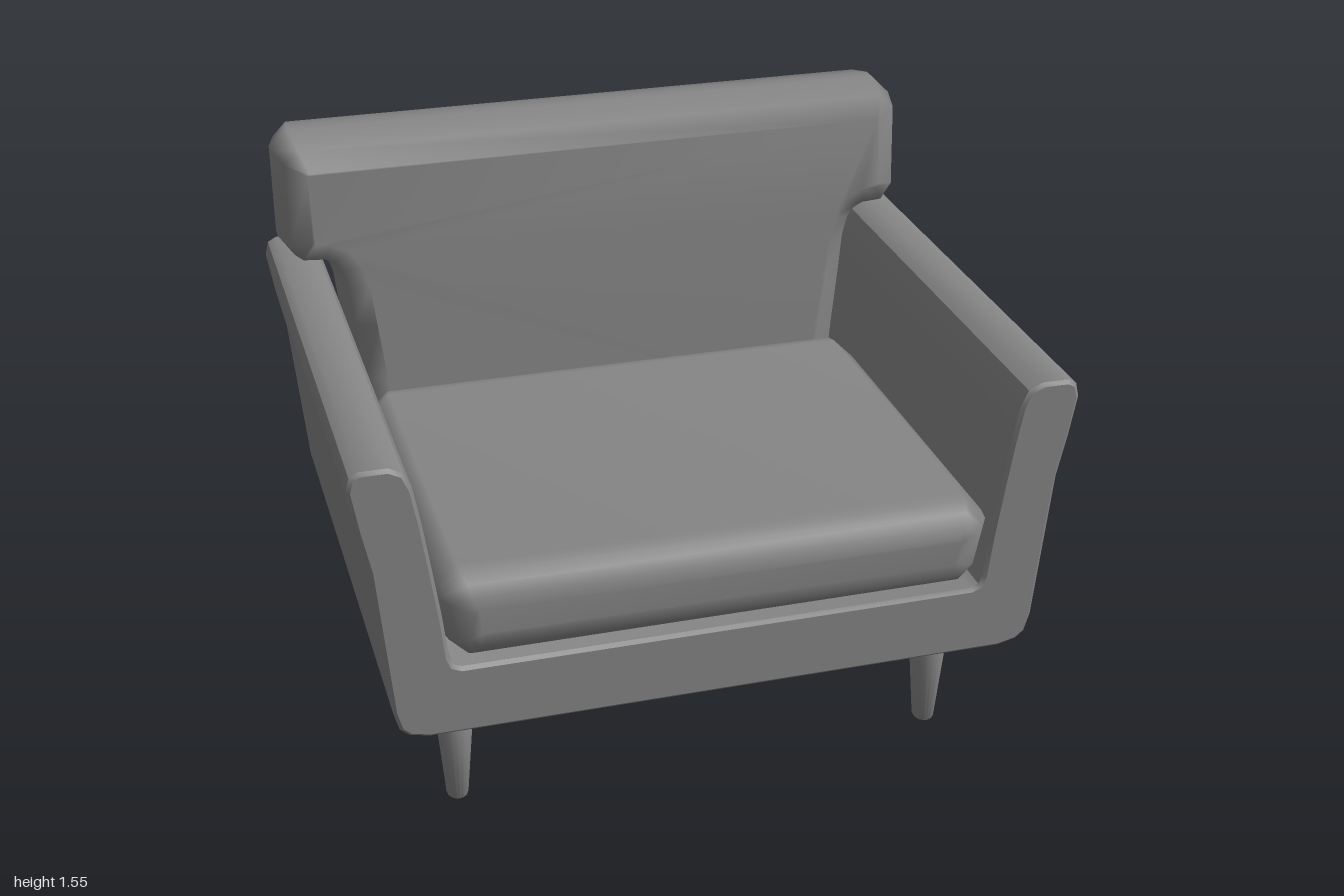
import * as THREE from 'three';
import { mergeVertices, toCreasedNormals } from 'three/addons/utils/BufferGeometryUtils.js';
import { RoundedBoxGeometry } from 'three/addons/geometries/RoundedBoxGeometry.js';

const material = new THREE.MeshStandardMaterial({ color: 0x858585 });

function add(parent, name, geometry, x = 0, y = 0, z = 0) {
  const mesh = new THREE.Mesh(geometry, material);
  mesh.name = name;
  mesh.position.set(x, y, z);
  parent.add(mesh);
  return mesh;
}

// Closed shape from its right half, mirrored across x = 0
function mirroredShape(half) {
  const left = half.map(([x, y]) => [-x, y]).reverse();
  return new THREE.Shape([...half, ...left].map(([x, y]) => new THREE.Vector2(x, y)));
}

// Move every vertex by a rule
function warp(geometry, rule) {
  const p = geometry.attributes.position;
  const v = new THREE.Vector3();
  for (let i = 0; i < p.count; i++) {
    rule(v.fromBufferAttribute(p, i));
    p.setXYZ(i, v.x, v.y, v.z);
  }
  geometry.computeVertexNormals();
  return geometry;
}

// Soft upholstered block: a front outline swollen by a wide bevel, centred in z
function paddedGeometry(half, length, thickness, size, segments) {
  const depth = length - 2 * thickness;
  const g = new THREE.ExtrudeGeometry(mirroredShape(half), {
    depth, bevelThickness: thickness, bevelSize: size, bevelSegments: segments,
  });
  g.translate(0, 0, -depth / 2);
  g.deleteAttribute('uv');
  g.deleteAttribute('normal');
  const smooth = mergeVertices(g);
  smooth.computeVertexNormals();
  return smooth;
}

// U-shaped body: floor and two flared arms, with a sloping back edge
function shellGeometry() {
  const shape = mirroredShape([
    [0.82, 0.33], [0.875, 0.343], [0.9, 0.365], [0.915, 0.42], [0.935, 0.64],
    [0.955, 0.86], [0.98, 0.98], [1.0, 1.1], [0.99, 1.14], [0.965, 1.154],
    [0.89, 1.154], [0.852, 1.135], [0.832, 1.09], [0.812, 0.98], [0.793, 0.85],
    [0.772, 0.7], [0.758, 0.57], [0.748, 0.545], [0.725, 0.535],
  ]);
  const bevel = 0.01;
  const g = new THREE.ExtrudeGeometry(shape, {
    depth: 1.6 - 2 * bevel, bevelThickness: bevel, bevelSize: bevel, bevelOffset: -bevel, bevelSegments: 1,
  });
  g.translate(0, 0, -0.8 + bevel);
  warp(g, (v) => { if (v.z < 0) v.z += 0.07 - 0.085 * (v.y - 0.33); });
  return toCreasedNormals(g, 0.6);
}

// T-shaped backrest: padded roll on top, narrowing between the arms
function backrestGeometry() {
  const g = paddedGeometry([
    [0.645, 0.57], [0.675, 0.6], [0.695, 0.8], [0.717, 0.98], [0.73, 1.1],
    [0.75, 1.17], [0.785, 1.22], [0.84, 1.247], [0.884, 1.25], [0.891, 1.26],
    [0.891, 1.464], [0.885, 1.47],
  ], 0.345, 0.15, 0.085, 2);
  return warp(g, (v) => { v.z -= 0.618 + 0.07 * (v.y - 1.15); });
}

export function createModel() {
  const model = new THREE.Group();
  model.name = 'armchair';
  add(model, 'bodyShell', shellGeometry());
  add(model, 'backrest', backrestGeometry());

  // Seat cushion, slightly narrower at the bottom
  add(model, 'seatCushion', paddedGeometry([
    [0.662, 0.628], [0.67, 0.636], [0.682, 0.7], [0.674, 0.708],
  ], 1.226, 0.1, 0.092, 4), 0, 0, 0.195);

  // Open base frame with a leg under each corner
  const base = new THREE.Group();
  base.name = 'base';
  base.position.set(-0.019, 0, 0.038);
  model.add(base);
  const halfX = 0.765, halfZ = 0.647, rail = 0.06, height = 0.056;
  for (const s of [-1, 1]) {
    add(base, 'sideRail', new RoundedBoxGeometry(rail, height, 2 * halfZ, 2, 0.015),
      s * (halfX - rail / 2), 0.306, 0);
    add(base, 'crossRail', new RoundedBoxGeometry(2 * halfX, height, rail, 2, 0.015),
      0, 0.306, s * (halfZ - rail / 2));
    for (const t of [-1, 1]) {
      // Tapered leg, a little deeper than wide
      const profile = [[0, 0], [0.034, 0], [0.037, 0.006], [0.063, 0.27], [0.056, 0.29], [0, 0.3]];
      const leg = new THREE.LatheGeometry(profile.map(([r, y]) => new THREE.Vector2(r, y)), 20);
      leg.scale(0.84, 1, 1);
      add(base, 'leg', toCreasedNormals(leg, 0.7), s * 0.703, 0, t * 0.576);
    }
  }
  return model;
}
